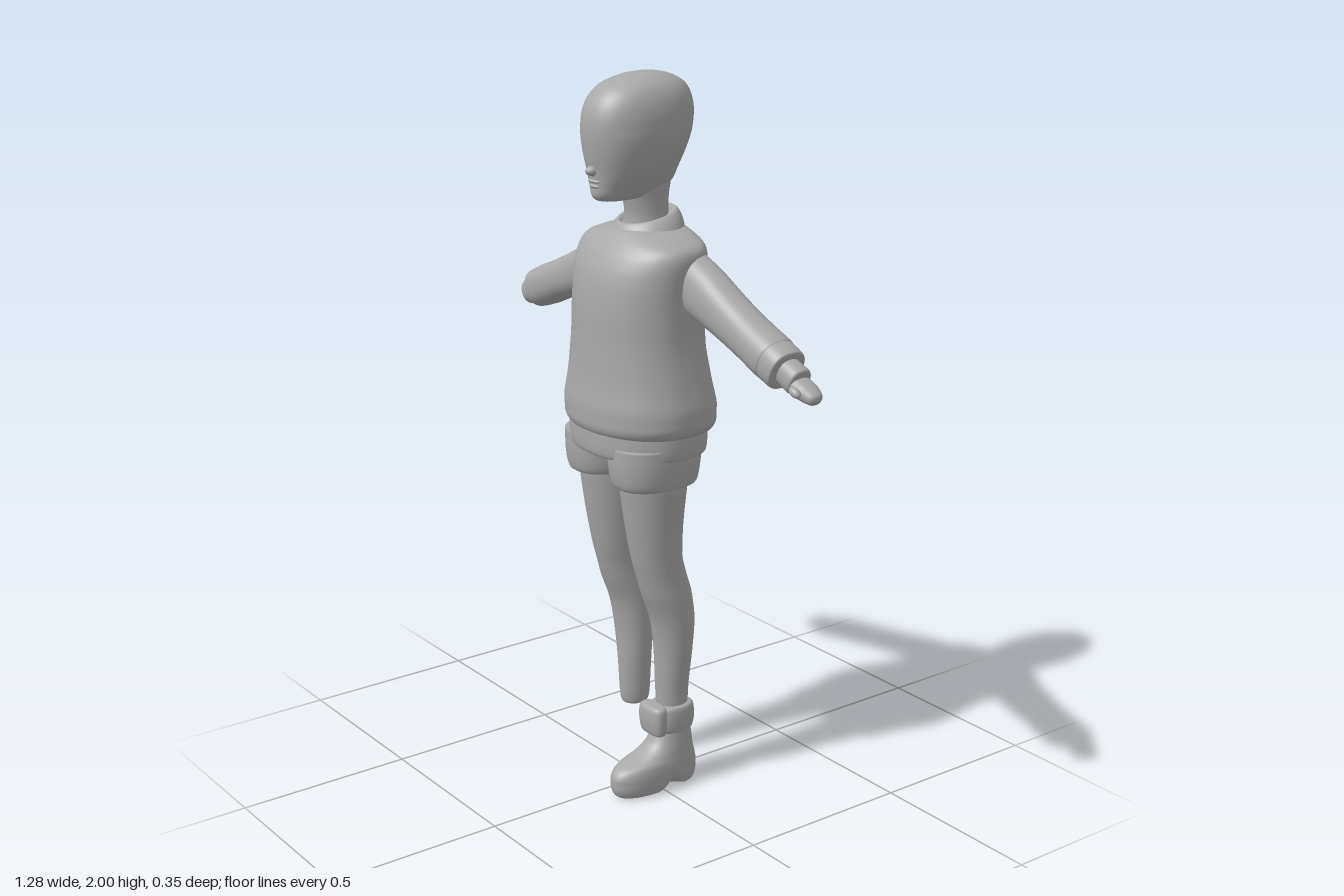
import * as THREE from 'three';

const CX = -0.025; // body midline
const mat = new THREE.MeshStandardMaterial({ color: 0xa8a8a8 });
mat.name = 'plain grey';

// Smooth skin through rows [y, halfWidth, zBack, zFront, xCentre = 0], listed upwards.
// pf / pb: squareness of the front and back halves (2 = ellipse).
function loft(rows, { pf = 2, pb = 2, seg = 40, steps = 5, bend } = {}) {
  const r = rows.map(a => [a[0], a[1], a[2], a[3], a[4] ?? 0]);
  const rings = [];
  for (let i = 0; i < r.length - 1; i++) {
    const p0 = r[Math.max(i - 1, 0)], p1 = r[i], p2 = r[i + 1], p3 = r[Math.min(i + 2, r.length - 1)];
    for (let s = 0; s < steps; s++) {
      const t = s / steps;
      rings.push(p1.map((b, k) => {
        const a = p0[k], c = p2[k], d = p3[k];
        const v = 0.5 * (2 * b + (c - a) * t + (2 * a - 5 * b + 4 * c - d) * t * t + (3 * b - a - 3 * c + d) * t ** 3);
        return THREE.MathUtils.clamp(v, Math.min(b, c), Math.max(b, c));
      }));
    }
  }
  rings.push(r[r.length - 1]);
  const pos = [], idx = [], n = rings.length;
  for (const [y, hw, zb, zf, xc] of rings) {
    for (let j = 0; j < seg; j++) {
      const a = (j / seg) * Math.PI * 2, c = Math.cos(a), s = Math.sin(a), e = 2 / (s > 0 ? pf : pb);
      pos.push(xc + hw * Math.sign(c) * Math.abs(c) ** e, y,
        (zb + zf) / 2 + (zf - zb) / 2 * Math.sign(s) * Math.abs(s) ** e);
    }
  }
  for (let i = 0; i < n - 1; i++) for (let j = 0; j < seg; j++) {
    const a = i * seg + j, c = i * seg + (j + 1) % seg;
    idx.push(a, a + seg, c, c, a + seg, c + seg);
  }
  // end caps
  for (const [k, top] of [[0, false], [n - 1, true]]) {
    const q = rings[k], m = pos.length / 3;
    pos.push(q[4], q[0], (q[2] + q[3]) / 2);
    for (let j = 0; j < seg; j++) {
      const a = k * seg + j, b = k * seg + (j + 1) % seg;
      top ? idx.push(m, b, a) : idx.push(m, a, b);
    }
  }
  if (bend) for (let i = 0; i < pos.length; i += 3) pos[i + 1] = bend(pos[i], pos[i + 1], pos[i + 2]);
  const g = new THREE.BufferGeometry();
  g.setAttribute('position', new THREE.Float32BufferAttribute(pos, 3));
  g.setIndex(idx);
  g.computeVertexNormals();
  return g;
}

export function createModel() {
  const model = new THREE.Group();
  model.name = 'figure';
  const add = (name, geo, x = CX, y = 0, z = 0) => {
    const m = new THREE.Mesh(geo, mat);
    m.name = name;
    m.position.set(x, y, z);
    model.add(m);
    return m;
  };
  const blob = (name, x, y, z, sx, sy, sz) =>
    add(name, new THREE.SphereGeometry(1, 20, 14).scale(sx, sy, sz), CX + x, y, z);

  // Head and neck
  add('head', loft([
    [1.672, 0.012, 0.03, 0.09], [1.677, 0.034, -0.03, 0.122], [1.69, 0.049, -0.07, 0.136], [1.715, 0.066, -0.106, 0.138],
    [1.75, 0.084, -0.12, 0.141], [1.8, 0.1, -0.143, 0.15], [1.85, 0.109, -0.16, 0.155], [1.9, 0.108, -0.165, 0.151],
    [1.94, 0.099, -0.157, 0.134], [1.97, 0.081, -0.136, 0.102], [1.99, 0.052, -0.098, 0.05], [1.998, 0.026, -0.062, 0.005],
    [2.0, 0.004, -0.034, -0.026]], { pf: 2.3, pb: 2.1, seg: 48 }));
  blob('nose', 0, 1.757, 0.138, 0.016, 0.014, 0.023);
  blob('upperLip', 0, 1.73, 0.132, 0.026, 0.006, 0.014);
  blob('lowerLip', 0, 1.717, 0.13, 0.022, 0.007, 0.014);
  add('neck', loft([[1.55, 0.062, -0.1, 0.04], [1.62, 0.051, -0.095, 0.03], [1.67, 0.05, -0.096, 0.036], [1.73, 0.058, -0.105, 0.05]]));

  // Sweater with a collar that rises at the back
  add('sweater', loft([
    [1.055, 0.19, -0.145, 0.14], [1.06, 0.208, -0.165, 0.162], [1.085, 0.224, -0.175, 0.174], [1.13, 0.225, -0.175, 0.174],
    [1.2, 0.211, -0.162, 0.165], [1.3, 0.196, -0.147, 0.159], [1.4, 0.194, -0.147, 0.155], [1.48, 0.2, -0.147, 0.143],
    [1.53, 0.204, -0.142, 0.122], [1.56, 0.192, -0.137, 0.1], [1.58, 0.15, -0.13, 0.08], [1.595, 0.1, -0.12, 0.06],
    [1.6, 0.06, -0.1, 0.03]], { pf: 2.1, pb: 2.8, seg: 56 }));
  add('collar', loft([
    [1.55, 0.1, -0.125, 0.075], [1.575, 0.108, -0.131, 0.083], [1.6, 0.097, -0.127, 0.068], [1.62, 0.082, -0.118, 0.053],
    [1.626, 0.07, -0.108, 0.043], [1.615, 0.056, -0.1, 0.034]],
    { bend: (x, y, z) => y - (z + 0.03) * 0.22 }));

  // Waistband of the shorts
  add('waistband', loft([
    [0.995, 0.19, -0.14, 0.145], [1.0, 0.203, -0.153, 0.16], [1.03, 0.207, -0.157, 0.165], [1.08, 0.205, -0.157, 0.165]],
    { pf: 2.1, pb: 2.6, seg: 56 }));

  const TILT = THREE.MathUtils.degToRad(112.3);
  for (const [side, s] of [['left', 1], ['right', -1]]) {
    // Arm pieces run outward from the shoulder
    const arm = (name, rows, opt) => {
      add(side + name, loft(rows, opt), CX + s * 0.17, 1.47, -0.06).rotation.z = -s * TILT;
    };
    arm('Sleeve', [
      [-0.05, 0.05, -0.04, 0.04], [-0.02, 0.074, -0.058, 0.055], [0.05, 0.075, -0.06, 0.058], [0.17, 0.063, -0.058, 0.058],
      [0.28, 0.058, -0.059, 0.059], [0.345, 0.059, -0.06, 0.06], [0.362, 0.056, -0.056, 0.056], [0.368, 0.04, -0.04, 0.04]],
      { pf: 2.3, pb: 2.3 });
    arm('Cuff', [
      [0.34, 0.05, -0.05, 0.05], [0.362, 0.057, -0.057, 0.057], [0.4, 0.056, -0.056, 0.056], [0.41, 0.051, -0.051, 0.051],
      [0.411, 0.03, -0.03, 0.03]], { pf: 2.4, pb: 2.4 });
    arm('Wrist', [
      [0.38, 0.035, -0.035, 0.032], [0.44, 0.038, -0.037, 0.034], [s > 0 ? 0.458 : 0.462, 0.037, -0.036, 0.033],
      [s > 0 ? 0.463 : 0.468, 0.031, -0.03, 0.028]], { pf: 2.3, pb: 2.3 });

    // Legs of the shorts with a rolled hem
    add(side + 'ShortsLeg', loft([
      [0.912, 0.08, -0.09, 0.115], [0.916, 0.088, -0.105, 0.132], [0.94, 0.094, -0.112, 0.141], [0.985, 0.098, -0.118, 0.146],
      [1.03, 0.098, -0.12, 0.146]], { pf: 2.3, pb: 2.3 }), CX + s * 0.1);

    // Leg, with a rounded ankle end
    add(side + 'Leg', loft([
      [0.176, 0.008, -0.062, -0.05], [0.181, 0.026, -0.085, -0.028], [0.2, 0.038, -0.1, -0.014], [0.3, 0.045, -0.105, -0.008],
      [0.4, 0.054, -0.111, -0.003, 0.004], [0.5, 0.06, -0.115, 0.012, 0.007], [0.58, 0.061, -0.105, 0.042, 0.007],
      [0.63, 0.06, -0.09, 0.057, 0.006], [0.7, 0.064, -0.073, 0.076, 0.004], [0.8, 0.073, -0.075, 0.095, 0.004],
      [0.91, 0.085, -0.085, 0.11, 0.004], [0.97, 0.088, -0.09, 0.115, 0.004]
    ].map(([y, w, b, f, c = 0]) => [y, w, b, f, s * c])), CX + s * 0.088);
  }

  // Left hand
  const palm = loft([
    [0.44, 0.022, -0.034, 0.03], [0.48, 0.024, -0.036, 0.03], [0.505, 0.021, -0.033, 0.024], [0.525, 0.015, -0.024, 0.016],
    [0.532, 0.004, -0.008, 0.002]], { pf: 2.3, pb: 2.3, seg: 24 });
  add('leftHand', palm, CX + 0.17, 1.462, -0.06).rotation.z = -TILT;
  blob('leftThumb', 0.622, 1.282, -0.024, 0.02, 0.012, 0.012).rotation.z = -0.4;

  // Left boot: arched sole, padded ankle cuff and front buckle
  const bx = 0.065;
  add('leftBoot', loft([
    [0, 0.04, -0.108, 0.118], [0.006, 0.053, -0.124, 0.137], [0.03, 0.059, -0.131, 0.148], [0.06, 0.06, -0.131, 0.148],
    [0.085, 0.058, -0.126, 0.127], [0.105, 0.054, -0.12, 0.072], [0.13, 0.051, -0.115, 0.028], [0.16, 0.048, -0.11, 0.008],
    [0.19, 0.046, -0.106, 0]],
    { pf: 2.3, pb: 2.3, seg: 64, bend: (x, y, z) => y + 0.032 * Math.max(0, 1 - y / 0.09) * Math.exp(-(((z + 0.025) / 0.026) ** 2)) }), bx);
  add('leftBootCuff', loft([
    [0.168, 0.044, -0.1, 0], [0.173, 0.051, -0.112, 0.01], [0.2, 0.054, -0.118, 0.016], [0.235, 0.052, -0.116, 0.014],
    [0.245, 0.046, -0.108, 0.005], [0.246, 0.036, -0.1, -0.008]], { pf: 2.5, pb: 2.5 }), bx);
  add('leftBootTongue', loft([
    [0.165, 0.032, 0, 0.02], [0.172, 0.046, -0.014, 0.03], [0.21, 0.05, -0.016, 0.036], [0.245, 0.047, -0.014, 0.033],
    [0.253, 0.03, -0.006, 0.02]], { pf: 2.6, pb: 2.6 }), bx);
  return model;
}
